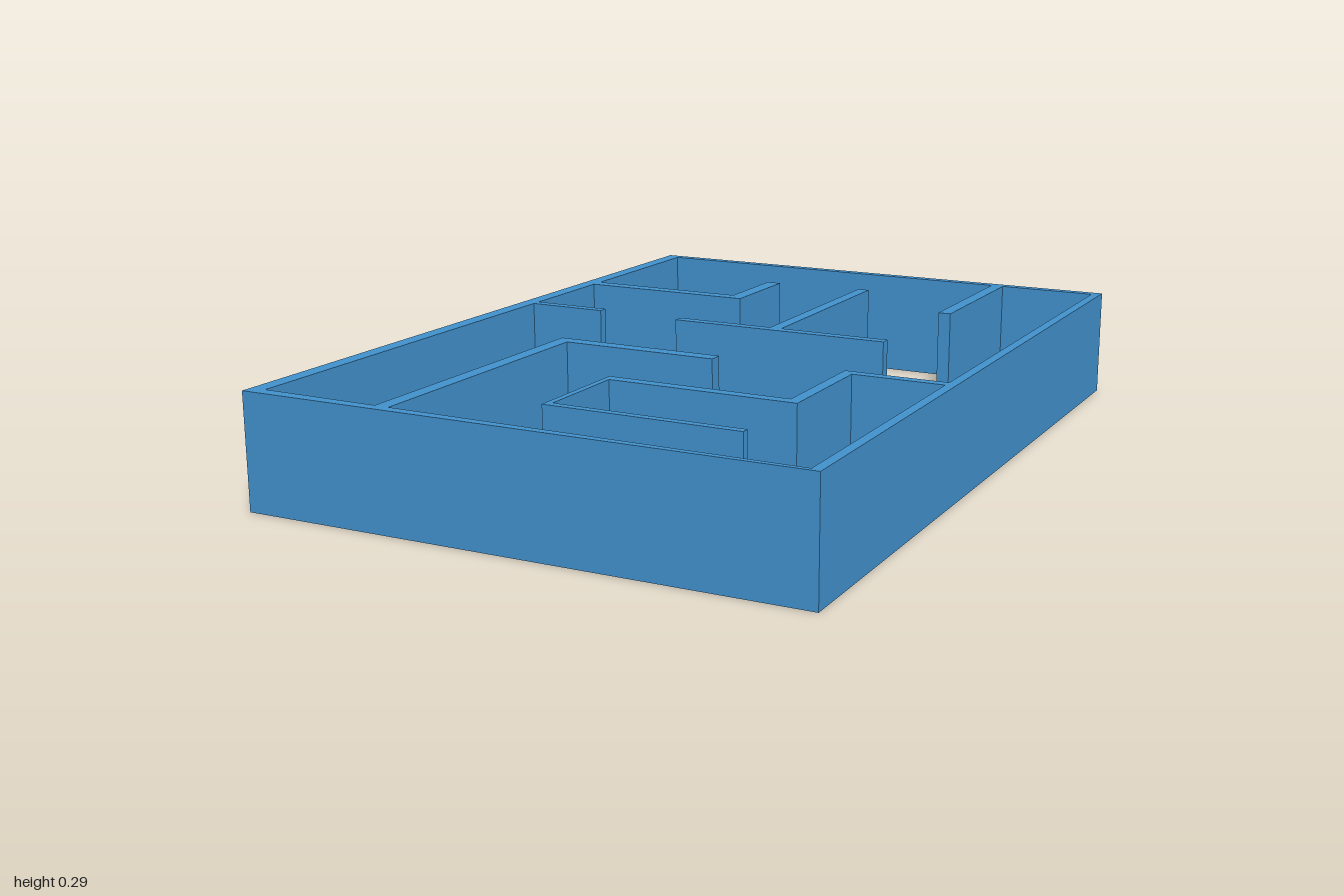
import * as THREE from 'three';

const HEIGHT = 0.287;

export function createModel() {
  const group = new THREE.Group();
  group.name = 'maze';
  const material = new THREE.MeshStandardMaterial({ color: 0x4190cc });
  const points = (plan) => plan.map(([x, z]) => new THREE.Vector2(x, z));

  // Raises a floor plan, given as [x, z] corners, to the full wall height
  function addWall(name, plan, opening) {
    const shape = new THREE.Shape(points(plan));
    if (opening) shape.holes.push(new THREE.Path(points(opening)));
    const geometry = new THREE.ExtrudeGeometry(shape, { depth: HEIGHT, bevelEnabled: false });
    geometry.rotateX(Math.PI / 2).translate(0, HEIGHT, 0);
    const mesh = new THREE.Mesh(geometry, material);
    mesh.name = name;
    group.add(mesh);
  }

  const rect = (x0, x1, z0, z1) => [[x0, z0], [x1, z0], [x1, z1], [x0, z1]];

  // Inner faces of the outer frame
  const left = 0.683, right = -0.667, back = -0.974, front = 0.968;

  // Frame: the front face is slightly slanted
  addWall('outerFrame',
    [[-0.707, -1], [0.707, -1], [0.707, 0.98], [-0.707, 1]],
    rect(right, left, back, front));

  // Straight walls attached to the frame
  addWall('backLeftWall', rect(0.384, 0.418, back, -0.529));
  addWall('rightStubWall', rect(right, -0.45, -0.161, -0.135));

  // L-shaped wall on the right side
  addWall('rightCornerWall', [
    [right, -0.495], [-0.225, -0.495], [-0.225, -0.722],
    [-0.185, -0.722], [-0.185, -0.458], [right, -0.458],
  ]);

  // Free-standing T-shaped wall
  addWall('centreTeeWall', [
    [-0.209, -0.15], [0.058, -0.15], [0.058, -0.743], [0.09, -0.743],
    [0.09, -0.15], [0.388, -0.15], [0.388, -0.122], [-0.209, -0.122],
  ]);

  // L-shaped wall rising from the front
  addWall('frontCornerWall', [
    [-0.36, front], [-0.36, 0.204], [0.09, 0.204],
    [0.09, 0.241], [-0.323, 0.241], [-0.323, front],
  ]);

  // Winding wall attached to the left side
  addWall('windingWall', [
    [left, 0.204], [0.423, 0.204], [0.423, 0.505], [-0.042, 0.505],
    [-0.042, 0.794], [0.45, 0.794], [0.45, 0.774], [-0.026, 0.774],
    [-0.026, 0.534], [0.452, 0.534], [0.452, 0.231], [left, 0.231],
  ]);

  return group;
}
